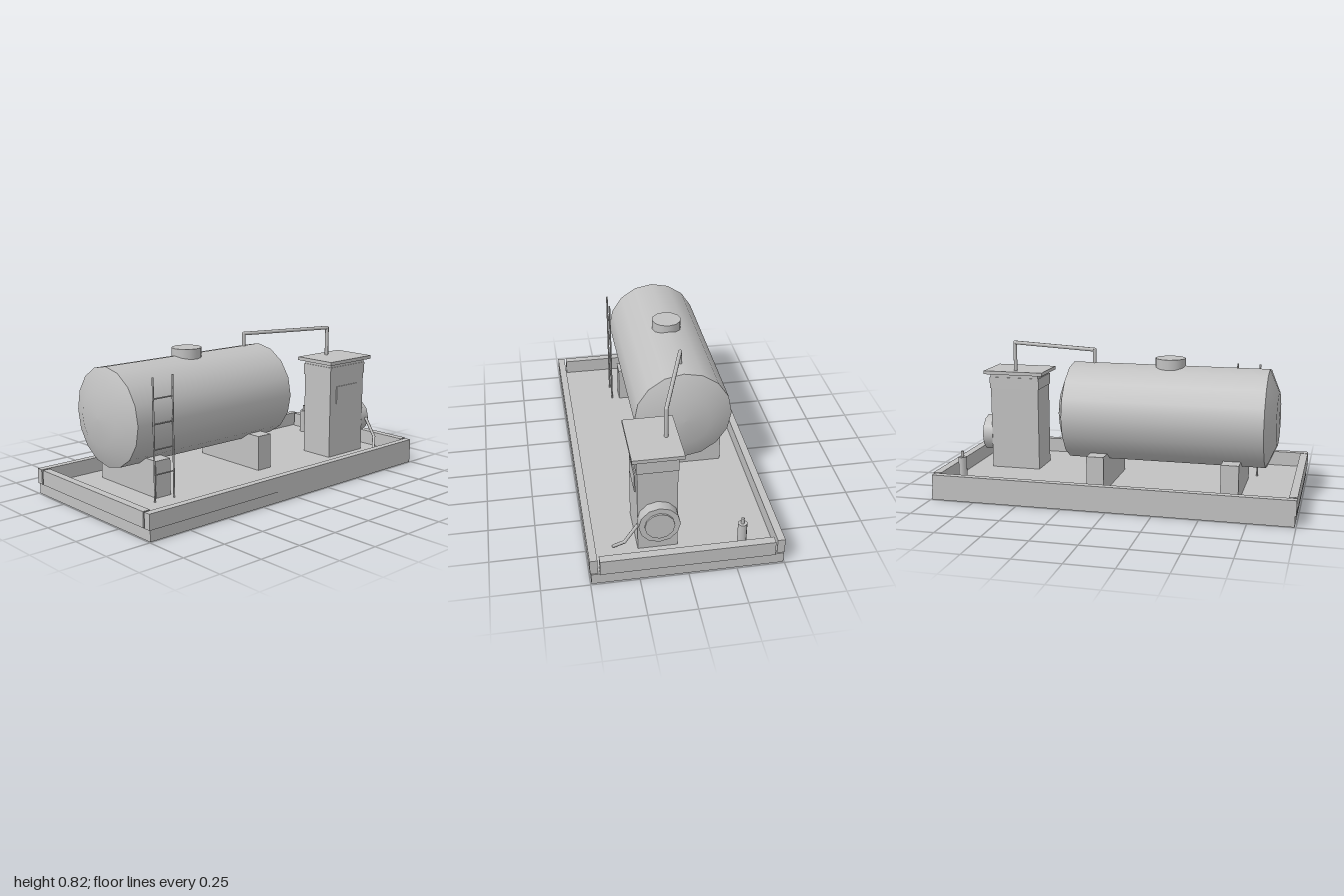
import * as THREE from 'three';

export function createModel() {
  const root = new THREE.Group();
  root.name = 'fuelStation';
  const grey = new THREE.MeshStandardMaterial({ color: 0xc2c2c2 });
  grey.name = 'plain grey';

  const add = (name, geometry, parent = root) => {
    const mesh = new THREE.Mesh(geometry, grey);
    mesh.name = name;
    parent.add(mesh);
    return mesh;
  };
  const group = (name) => {
    const g = new THREE.Group();
    g.name = name;
    root.add(g);
    return g;
  };
  // Box given by its extents on each axis
  const box = (name, [x0, x1], [y0, y1], [z0, z1], parent) =>
    add(name, new THREE.BoxGeometry(x1 - x0, y1 - y0, z1 - z0)
      .translate((x0 + x1) / 2, (y0 + y1) / 2, (z0 + z1) / 2), parent);
  // Round bar between two points
  const bar = (name, a, b, r, parent, sides = 8) => {
    const from = new THREE.Vector3(...a), to = new THREE.Vector3(...b);
    const dir = to.clone().sub(from);
    const mesh = add(name, new THREE.CylinderGeometry(r, r, dir.length(), sides), parent);
    mesh.position.copy(from).add(to).multiplyScalar(0.5);
    mesh.quaternion.setFromUnitVectors(new THREE.Vector3(0, 1, 0), dir.normalize());
    return mesh;
  };
  // Chain of bars with a ball at each bend
  const pipe = (name, points, r) => {
    const g = group(name);
    for (let i = 0; i < points.length - 1; i++) {
      bar(name + 'Run', points[i], points[i + 1], r, g);
      if (i > 0) add(name + 'Bend', new THREE.SphereGeometry(r, 8, 6).translate(...points[i]), g);
    }
  };

  // Slab with a raised curb around it
  box('slab', [-0.993, 0.993], [0, 0.06], [-0.495, 0.495]);
  const curbs = group('curbs');
  for (const s of [-1, 1]) {
    box('longCurb', [-1, 0.987], [0.06, 0.143], s < 0 ? [-0.5, -0.46] : [0.46, 0.5], curbs);
    box('endCurb', s < 0 ? [-1, -0.957] : [0.955, 1], [0.06, 0.143], [-0.448, 0.45], curbs);
  }

  // Horizontal tank with shallow domed ends
  const tank = group('tank');
  tank.position.set(0, 0.47, -0.1);
  const turned = (name, pts) => add(name, new THREE.LatheGeometry(
    pts.map(([r, x]) => new THREE.Vector2(r, x)), 16).rotateZ(-Math.PI / 2), tank);
  turned('tankShell', [[0.27, -0.81], [0.27, 0.28]]);
  turned('tankLeftEnd', [[0, -0.868], [0.145, -0.864], [0.27, -0.81]]);
  turned('tankRightEnd', [[0.27, 0.28], [0.145, 0.331], [0, 0.335]]);
  add('hatch', new THREE.CylinderGeometry(0.084, 0.084, 0.07, 12).translate(-0.268, 0.275, 0), tank);

  // Saddles under the tank
  for (const x of [-0.685, 0.05]) box('saddle', [x, x + 0.096], [0.06, 0.26], [-0.345, 0.145]);

  // Ladder
  const ladder = group('ladder');
  for (const x of [-0.728, -0.602]) bar('ladderRail', [x, 0.06, 0.19], [x, 0.715, 0.19], 0.005, ladder);
  for (let i = 0; i < 4; i++) {
    const y = 0.205 + i * 0.133;
    bar('ladderRung', [-0.728, y, 0.19], [-0.602, y, 0.19], 0.004, ladder);
  }

  // Pump cabinet
  const cabinet = group('pumpCabinet');
  box('cabinetBody', [0.546, 0.838], [0.06, 0.626], [0.031, 0.237], cabinet);
  box('cabinetBand', [0.541, 0.843], [0.54, 0.605], [0.027, 0.241], cabinet);
  box('cabinetRoof', [0.513, 0.87], [0.625, 0.645], [0.003, 0.266], cabinet);
  box('displayPanel', [0.598, 0.775], [0.38, 0.485], [0.236, 0.243], cabinet);

  // Hose reel on the cabinet side
  const reel = group('hoseReel');
  bar('reelDrum', [0.836, 0.25, 0.133], [0.897, 0.25, 0.133], 0.107, reel, 12);
  bar('reelHub', [0.89, 0.25, 0.133], [0.907, 0.25, 0.133], 0.077, reel, 12);
  pipe('hose', [[0.873, 0.252, 0.24], [0.873, 0.146, 0.31], [0.81, 0.07, 0.36]], 0.009);

  // Pipe from tank to cabinet
  pipe('feedPipe', [[0.162, 0.72, -0.1], [0.162, 0.81, -0.1], [0.693, 0.81, 0.067], [0.693, 0.64, 0.067]], 0.011);

  // Drain valve in the corner
  const valve = group('drainValve');
  bar('valveBody', [0.89, 0.06, -0.297], [0.89, 0.2, -0.297], 0.025, valve);
  bar('valveStem', [0.89, 0.2, -0.297], [0.89, 0.233, -0.297], 0.009, valve);

  return root;
}
